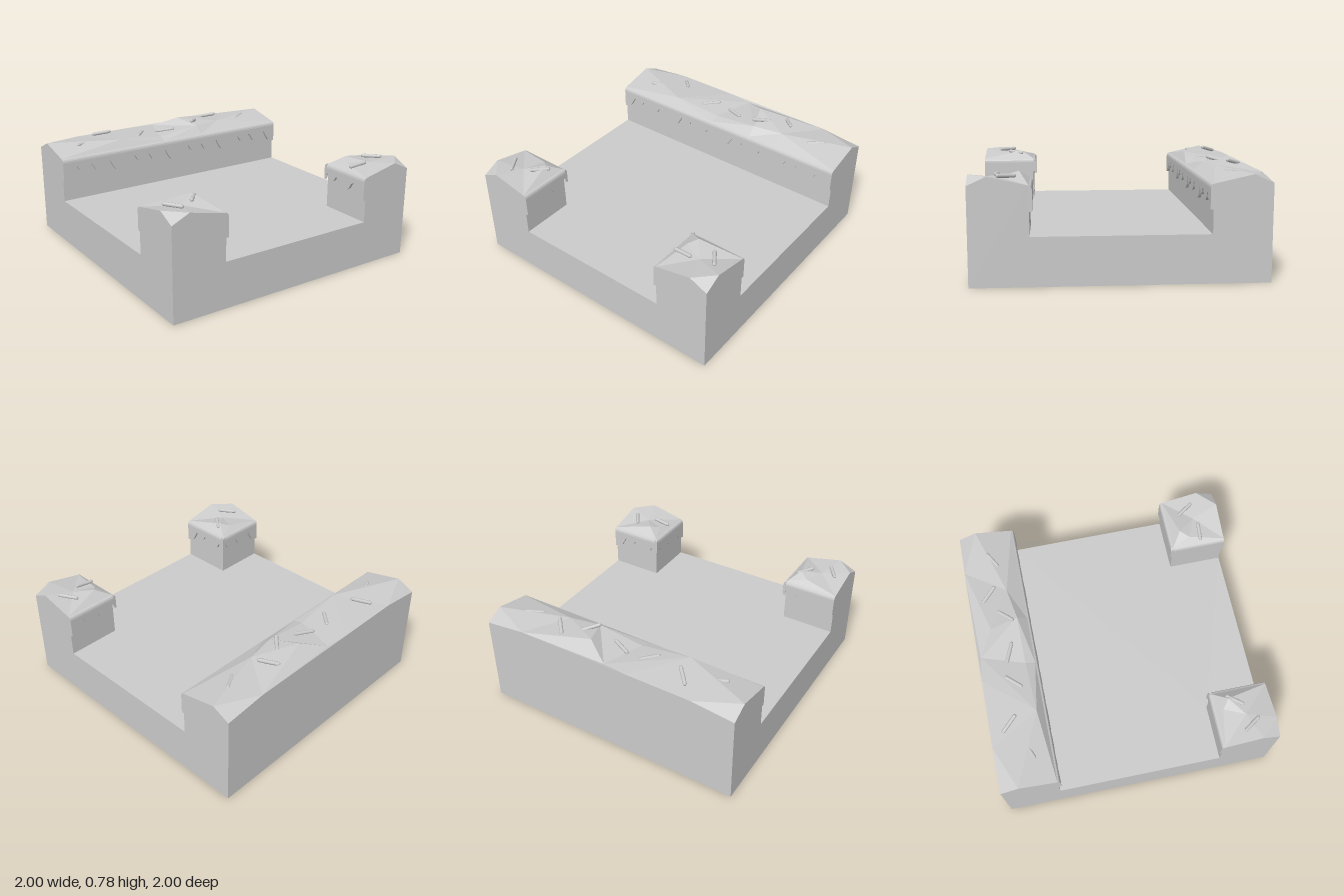
import * as THREE from 'three';

const grey = new THREE.MeshStandardMaterial({ color: 0xcccccc, side: THREE.DoubleSide });
const flat = new THREE.MeshStandardMaterial({ color: 0xcccccc, side: THREE.DoubleSide, flatShading: true });

const FLOOR = 0.335, EDGE = 0.6, LIP = 0.02, TOP = 0.67;
const toShape = pts => new THREE.Shape(pts.map(([x, y]) => new THREE.Vector2(x, y)));

function add(parent, name, geometry, material = grey) {
  const mesh = new THREE.Mesh(geometry, material);
  mesh.name = name;
  parent.add(mesh);
  return mesh;
}

function panel(parent, name, pts, pos = [0, 0, 0], rotY = 0) {
  const mesh = add(parent, name, new THREE.ShapeGeometry(toShape(pts)));
  mesh.position.set(...pos);
  mesh.rotation.y = rotY;
  return mesh;
}

function facets(parent, name, vertices, faces) {
  const geometry = new THREE.BufferGeometry();
  geometry.setAttribute('position', new THREE.Float32BufferAttribute(vertices.flat(), 3));
  geometry.setIndex(faces.flat());
  const split = geometry.toNonIndexed();
  split.computeVertexNormals();
  return add(parent, name, split, flat);
}

// One repeat of the dripping edge, 0.5 long
const dripCurve = new THREE.SplineCurve([
  [0, .5], [.055, .515], [.085, .56], [.11, .6], [.13, .57], [.155, .55], [.185, .565], [.2, .59], [.225, .6],
  [.25, .58], [.27, .545], [.305, .53], [.345, .55], [.365, .585], [.39, .6], [.41, .565], [.445, .515], [.5, .5],
].map(([x, y]) => new THREE.Vector2(x, y)));
const dripPoints = dripCurve.getPoints(68);

// Wall face with its icing: local x runs along the wall, local +z faces outwards
function icedWall(parent, u0, u1, wallStart, pos, rotY) {
  const group = new THREE.Group();
  group.name = 'icedWall';
  group.position.set(...pos);
  group.rotation.y = rotY;
  parent.add(group);

  const [a, b] = wallStart;
  panel(group, 'innerWall', [[a, FLOOR], [b, FLOOR], [b, TOP], [a, TOP]]);

  const edge = [];
  for (let k = -2; k < 2; k++) {
    for (const p of dripPoints.slice(k === -2 ? 0 : 1)) {
      const u = p.x + k * 0.5;
      if (u >= u0 - 1e-6 && u <= u1 + 1e-6) edge.push([u, p.y]);
    }
  }
  const outline = [[u0, 0.64], [u0, edge[0][1]], ...edge.filter(p => p[0] > u0 + 1e-4 && p[0] < u1 - 1e-4),
    [u1, edge[edge.length - 1][1]], [u1, 0.64]];
  add(group, 'icingDrips', new THREE.ExtrudeGeometry(toShape(outline), { depth: LIP, bevelEnabled: false }));

  // Rounded shoulder between drips and top
  const shoulder = toShape([[0, 0.64], [-LIP, 0.64], [-0.018, 0.653], [-0.012, 0.664], [0, TOP]]);
  const roll = add(group, 'icingShoulder',
    new THREE.ExtrudeGeometry(shoulder, { depth: u1 - u0, bevelEnabled: false }));
  roll.rotation.y = Math.PI / 2;
  roll.position.x = u0;
}

function sprinkle(parent, from, to) {
  const a = new THREE.Vector3(...from), b = new THREE.Vector3(...to);
  const dir = b.clone().sub(a);
  const mesh = add(parent, 'sprinkle', new THREE.CapsuleGeometry(0.014, dir.length() - 0.02, 2, 8));
  mesh.position.copy(a).add(b).multiplyScalar(0.5);
  mesh.quaternion.setFromUnitVectors(new THREE.Vector3(0, 1, 0), dir.normalize());
}

// Corner post, built at +x +z
function cornerPost(name) {
  const post = new THREE.Group();
  post.name = name;
  icedWall(post, EDGE - LIP, 1, [EDGE, 1], [EDGE, 0, 0], -Math.PI / 2);
  icedWall(post, -1, -EDGE + LIP, [-1, -EDGE], [0, 0, EDGE], Math.PI);
  facets(post, 'postTop', [
    [1, .67, 1], [.87, .73, 1], [1, .73, .87], [.6, .67, 1], [1, .67, .6], [.6, .67, .6],
    [.7, .73, .67], [.8, .7, .8], [.65, .705, .735],
  ], [
    [0, 2, 1], [1, 2, 7], [1, 7, 3], [3, 7, 8], [3, 8, 5], [5, 8, 6], [8, 7, 6], [5, 6, 4], [6, 7, 4], [7, 2, 4],
  ]);
  return post;
}

export function createModel() {
  const model = new THREE.Group();
  model.name = 'cakeTile';

  // Floor, with the two front corners left open under the posts
  const floor = panel(model, 'floor', [[-1, .6], [1, .6], [1, -.6], [.6, -.6], [.6, -1], [-.6, -1], [-.6, -.6], [-1, -.6]]);
  floor.rotation.x = -Math.PI / 2;
  floor.position.y = FLOOR;

  // Outer walls: the front and both sides share one U-shaped outline
  const half = [[1, 0], [1, TOP], [.87, .73], [EDGE, TOP], [.588, .664], [.58, .64], [.58, .5], [EDGE, .5], [EDGE, FLOOR]];
  const outline = [...half, ...half.map(([x, y]) => [-x, y]).reverse()];
  panel(model, 'frontWall', outline, [0, 0, 1]);
  panel(model, 'leftWall', outline, [1, 0, 0], Math.PI / 2);
  panel(model, 'rightWall', outline, [-1, 0, 0], -Math.PI / 2);
  panel(model, 'backWall', [[-1, 0], [1, 0], [1, TOP], [.68, .705], [.18, .705], [-.69, .705], [-1, TOP]],
    [0, 0, -1], Math.PI);

  // Long back block
  icedWall(model, -1, 1, [-1, 1], [0, 0, -EDGE], 0);
  facets(model, 'backTop', [
    [-1, .67, -1], [-1, .73, -.87], [-1, .67, -.6], [-.68, .705, -1], [-.48, .73, -.65], [-.18, .705, -1],
    [0, .7, -.98], [.18, .765, -.87], [.25, .73, -.67], [.48, .73, -.71], [.69, .705, -1], [1, .67, -1],
    [1, .73, -.87], [1, .67, -.6], [-.1, .69, -.67], [-.1, .67, -.6], [.25, .67, -.6], [.48, .67, -.6],
  ], [
    [0, 1, 3], [1, 2, 4], [1, 4, 3], [3, 4, 5], [4, 6, 5], [4, 14, 6], [2, 15, 4], [4, 15, 14], [14, 8, 6],
    [6, 8, 7], [15, 16, 8], [15, 8, 14], [16, 17, 9], [16, 9, 8], [17, 13, 9], [9, 13, 12], [9, 12, 10],
    [10, 12, 11], [7, 8, 9], [7, 9, 10], [6, 7, 10], [5, 6, 10],
  ]);

  // Front corner posts
  model.add(cornerPost('leftPost'));
  const rightPost = cornerPost('rightPost');
  rightPost.rotation.y = -Math.PI / 2;
  model.add(rightPost);

  // Sprinkles, given by their two ends
  [
    [[-.81, .72, -.72], [-.67, .71, -.78]],
    [[-.59, .73, -.91], [-.49, .765, -.8]],
    [[-.28, .71, -.72], [-.18, .71, -.83]],
    [[-.07, .70, -.8], [.07, .715, -.74]],
    [[.22, .765, -.7], [.32, .74, -.8]],
    [[.41, .735, -.9], [.51, .77, -.79]],
    [[.69, .715, -.74], [.81, .725, -.81]],
    [[.84, .715, .69], [.92, .725, .81]],
    [[.61, .70, .815], [.75, .715, .825]],
    [[-.92, .725, .76], [-.84, .725, .88]],
    [[-.73, .72, .8], [-.64, .71, .69]],
  ].forEach(([a, b]) => sprinkle(model, a, b));

  return model;
}
